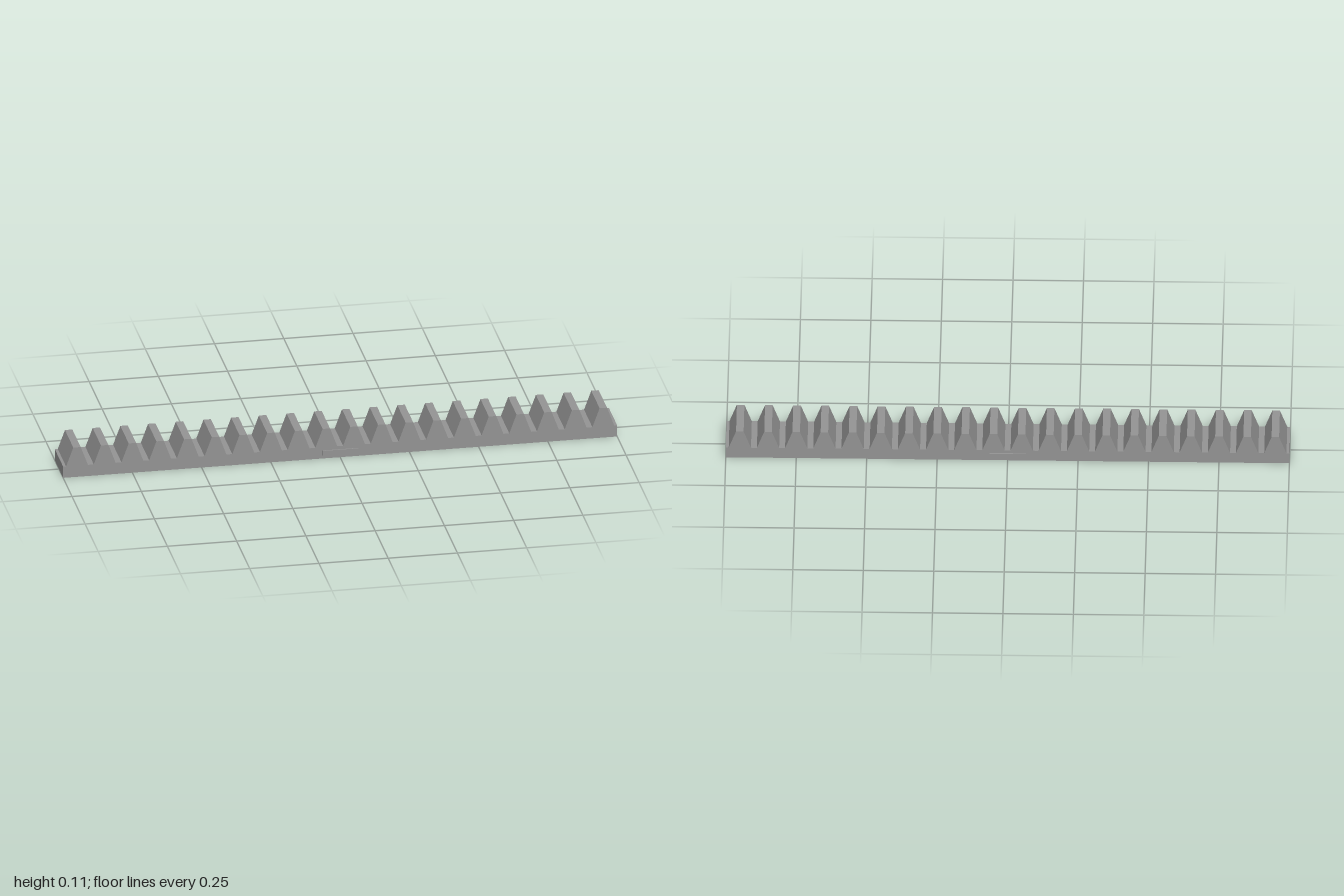
import * as THREE from 'three';

export function createModel() {
  const group = new THREE.Group();
  group.name = 'gearRack';
  const material = new THREE.MeshStandardMaterial({ color: 0x939393, flatShading: true });

  // Rack proportions: 20 straight-sided teeth with a 20 degree pressure angle
  const teeth = 20, length = 2, depth = 0.16;
  const pitch = length / teeth, rootY = 0.043, tipY = 0.114;
  const halfRoot = 0.0395, halfTip = 0.0134;

  // Toothed bar: side profile extruded across the width
  const profile = new THREE.Shape();
  profile.moveTo(-length / 2, 0);
  profile.lineTo(length / 2, 0);
  profile.lineTo(length / 2, rootY);
  for (let i = teeth - 1; i >= 0; i--) {
    const x = -length / 2 + (i + 0.5) * pitch;
    profile.lineTo(x + halfRoot, rootY);
    profile.lineTo(x + halfTip, tipY);
    profile.lineTo(x - halfTip, tipY);
    profile.lineTo(x - halfRoot, rootY);
  }
  profile.lineTo(-length / 2, rootY);
  profile.closePath();
  const barGeometry = new THREE.ExtrudeGeometry(profile, { depth, bevelEnabled: false });
  barGeometry.translate(0, 0, -depth / 2);
  const bar = new THREE.Mesh(barGeometry, material);
  bar.name = 'toothedBar';
  group.add(bar);

  // Small plain raised plates in the middle of the front and back faces
  for (const side of [1, -1]) {
    const plate = new THREE.Mesh(new THREE.BoxGeometry(0.13, 0.018, 0.005), material);
    plate.name = side > 0 ? 'frontPlate' : 'backPlate';
    plate.position.set(0, 0.022, side * (depth / 2 + 0.0025));
    group.add(plate);
  }
  return group;
}
